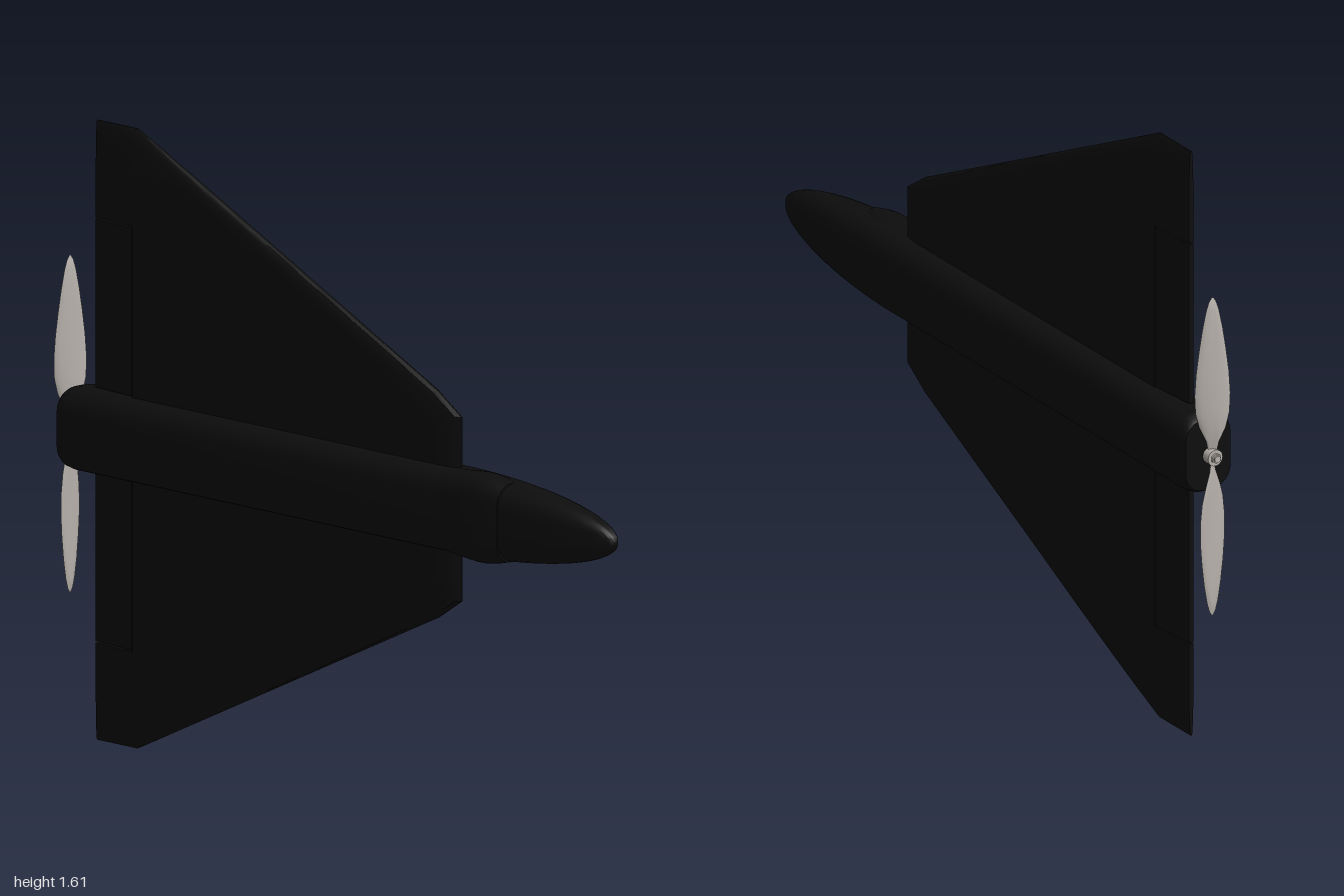
import * as THREE from 'three';
import { toCreasedNormals } from 'three/addons/utils/BufferGeometryUtils.js';

const CY = 0.807; // height of the fuselage axis

// Skin a list of equal-length rings of [x, y, z] points and cap both ends.
function loft(rings, crease = 0.7) {
  const n = rings[0].length, m = rings.length, pos = rings.flat(), idx = [];
  for (let i = 0; i < m - 1; i++) {
    for (let j = 0; j < n; j++) {
      const a = i * n + j, b = i * n + (j + 1) % n;
      idx.push([a, b, b + n], [a, b + n, a + n]);
    }
  }
  for (const end of [0, m - 1]) {
    const c = [0, 1, 2].map(k => rings[end].reduce((s, p) => s + p[k], 0) / n);
    const ci = pos.push(c) - 1;
    for (let j = 0; j < n; j++) {
      const a = end * n + j, b = end * n + (j + 1) % n;
      idx.push(end ? [ci, a, b] : [ci, b, a]);
    }
  }
  // Turn all faces outward using the signed volume.
  const v = pos.map(p => new THREE.Vector3(...p));
  const mid = v.reduce((s, p) => s.add(p), new THREE.Vector3()).divideScalar(v.length);
  v.forEach(p => p.sub(mid));
  const volume = idx.reduce((s, [a, b, c]) => s + v[a].dot(v[b].clone().cross(v[c])), 0);
  const geo = new THREE.BufferGeometry();
  geo.setAttribute('position', new THREE.Float32BufferAttribute(pos.flat(), 3));
  geo.setIndex(idx.flatMap(t => (volume < 0 ? [t[0], t[2], t[1]] : t)));
  return toCreasedNormals(geo, crease);
}

// Rounded rectangle ring across the fuselage.
function bodyRing(z, hw, hh, r, cx = 0) {
  const ring = [];
  for (let q = 0; q < 4; q++) {
    const sx = q === 0 || q === 3 ? 1 : -1, sy = q < 2 ? 1 : -1;
    for (let k = 0; k <= 6; k++) {
      const a = (q + k / 6) * Math.PI / 2;
      ring.push([cx + sx * (hw - r) + r * Math.cos(a), CY + sy * (hh - r) + r * Math.sin(a), z]);
    }
  }
  return ring;
}

// Wing planform, with h measured outward from the axis.
const TIP = 0.803, TRAIL = -0.876, HINGE = -0.732;
const lead = h => (h < 0.254 ? 0.44 : 0.44 - (h - 0.254) / (TIP - 0.254) * 1.17);
const round = t => Math.sqrt(Math.max(0, 1 - (1 - Math.min(1, t)) ** 2));
function halfThickness(h, z) {
  const tip = round((TIP - h) / 0.15);
  const nose = round((lead(h) - z) / 0.07);
  const tail = Math.min(1, 0.3 + (z - TRAIL) / 0.2);
  return 0.002 + 0.016 * tip * Math.min(nose, tail);
}

// Wing panel between two span stations, from front(h) back to rear.
function wingPanel(side, h0, h1, front, rear) {
  const rings = [];
  for (let i = 0; i <= 14; i++) {
    const h = h0 + (h1 - h0) * Math.sin(i / 14 * Math.PI / 2);
    const upper = [], lower = [];
    for (let k = 0; k <= 16; k++) {
      const z = front(h) + (rear - front(h)) * (k / 16) ** 1.6;
      const t = halfThickness(h, z);
      upper.push([t, CY + side * h, z]);
      lower.unshift([-t, CY + side * h, z]);
    }
    rings.push([...upper, ...lower]);
  }
  return loft(rings, 0.5);
}

export function createModel() {
  const model = new THREE.Group();
  const black = new THREE.MeshStandardMaterial({ color: 0x0d0d0d });
  black.name = 'matte black';
  const grey = new THREE.MeshStandardMaterial({ color: 0xb8b2ac });
  grey.name = 'warm grey';
  const add = (name, geo, mat, parent = model) => {
    const mesh = new THREE.Mesh(geo, mat);
    mesh.name = name;
    parent.add(mesh);
    return mesh;
  };

  // Fuselage: softened tail, straight middle, elliptical nose
  const body = [[-0.955, 0.9], [-0.945, 0.96], [-0.92, 1], [0.45, 1]].map(([z, s]) =>
    bodyRing(z, 0.075 * s, 0.108 * s, 0.058 * s));
  for (let i = 1; i <= 20; i++) {
    const a = i / 20 * Math.PI / 2, s = Math.max(0.01, Math.cos(a));
    const r = 0.058 + 0.016 * Math.sin(a);
    body.push(bodyRing(0.45 + 0.55 * Math.sin(a), 0.075 * s, 0.108 * s, r * s));
  }
  add('fuselage', loft(body), black);

  // Raised hatch wrapped round one side of the nose
  const hatch = [[0.41, 0.9], [0.45, 0.935], [0.5, 0.98], [0.54, 1], [0.57, 0.995], [0.6, 0.96], [0.64, 0.88]];
  add('hatch', loft(hatch.map(([z, s]) =>
    bodyRing(z, 0.06 * s, 0.116 * s, 0.056 * s, -0.021 * s))), black);

  // Mirrored delta wings with slotted elevons
  for (const side of [1, -1]) {
    const wing = new THREE.Group();
    wing.name = side > 0 ? 'upperWing' : 'lowerWing';
    model.add(wing);
    add('innerPanel', wingPanel(side, 0, 0.55, lead, HINGE), black, wing);
    add('outerPanel', wingPanel(side, 0.55, TIP, lead, HINGE + 0.002), black, wing);
    add('tipTrailingPanel', wingPanel(side, 0.551, TIP, h => Math.min(HINGE + 0.004, lead(h)), TRAIL), black, wing);
    add('elevon', wingPanel(side, 0.111, 0.547, () => HINGE - 0.004, TRAIL), black, wing);
    // Recessed hinge strip
    const hinge = add('hinge', new THREE.BoxGeometry(0.012, 0.444, 0.05), black, wing);
    hinge.position.set(0, CY + side * 0.329, HINGE - 0.007);
  }

  // Two-bladed pusher propeller
  const propeller = new THREE.Group();
  propeller.name = 'propeller';
  propeller.position.set(0, CY, -0.975);
  model.add(propeller);
  // Blade stations: radius, half chord, twist
  const stations = [[0.01, 0.01, 0.6], [0.04, 0.016, 0.55], [0.08, 0.034, 0.45], [0.12, 0.044, 0.36],
    [0.17, 0.047, 0.29], [0.23, 0.044, 0.23], [0.29, 0.037, 0.19], [0.35, 0.028, 0.16],
    [0.4, 0.018, 0.14], [0.425, 0.01, 0.12], [0.437, 0.002, 0.1]];
  const bladeGeo = loft(stations.map(([r, c, twist]) => {
    const ring = [];
    for (let k = 0; k < 14; k++) {
      const a = k / 14 * Math.PI * 2;
      const u = c * Math.cos(a), w = Math.min(0.005, c * 0.2) * Math.sin(a);
      ring.push([u * Math.cos(twist) - w * Math.sin(twist), r, u * Math.sin(twist) + w * Math.cos(twist)]);
    }
    return ring;
  }), 0.9);
  for (let i = 0; i < 2; i++) add('blade', bladeGeo, grey, propeller).rotation.z = i * Math.PI;

  // Hub and shaft along z
  for (const [name, r, z0, z1] of [['hub', 0.022, -0.014, 0.012], ['shaft', 0.009, -0.025, 0.03], ['hubNut', 0.014, -0.02, -0.01]]) {
    const part = add(name, new THREE.CylinderGeometry(r, r, z1 - z0, name === 'hubNut' ? 6 : 20), grey, propeller);
    part.rotation.x = Math.PI / 2;
    part.position.z = (z0 + z1) / 2;
  }
  return model;
}
